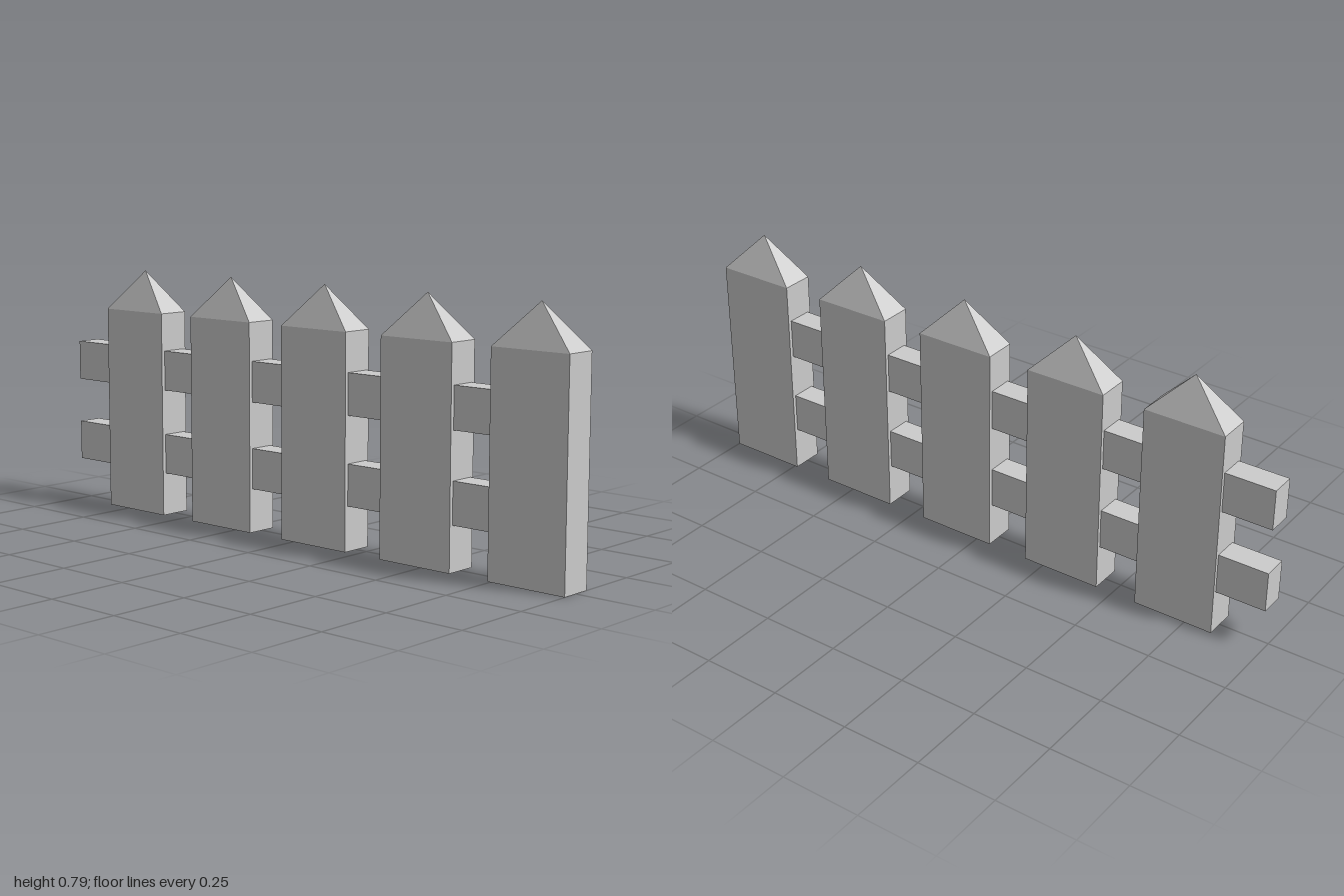
import * as THREE from 'three';

const PICKETS = 5, SPACING = 0.395, FIRST_Z = 0.87;
const THICK = 0.104, WIDTH = 0.26, SHOULDER = 0.66, TIP = 0.79;

export function createModel() {
  const group = new THREE.Group();
  group.name = 'picketFence';
  const material = new THREE.MeshStandardMaterial({ color: 0xcccccc, flatShading: true });

  const add = (parent, name, geometry) => {
    const mesh = new THREE.Mesh(geometry, material);
    mesh.name = name;
    parent.add(mesh);
    return mesh;
  };

  // Picket board and its four-sided pointed cap
  const board = new THREE.BoxGeometry(THICK, SHOULDER, WIDTH).translate(0, SHOULDER / 2, 0);
  const capHeight = TIP - SHOULDER;
  const cap = new THREE.ConeGeometry(Math.SQRT1_2, capHeight, 4, 1, true)
    .rotateY(Math.PI / 4)
    .scale(THICK, 1, WIDTH)
    .translate(0, SHOULDER + capHeight / 2, 0);

  // Row of pickets along z
  for (let i = 0; i < PICKETS; i++) {
    const picket = new THREE.Group();
    picket.name = `picket${i + 1}`;
    add(picket, 'board', board);
    add(picket, 'pointedCap', cap);
    picket.position.z = FIRST_Z - i * SPACING;
    group.add(picket);
  }

  // Two rails, ending inside the first picket and jutting out past the last
  const railLength = FIRST_Z + 1;
  const rail = new THREE.BoxGeometry(0.08, 0.128, railLength);
  for (const [name, y] of [['lowerRail', 0.202], ['upperRail', 0.475]]) {
    add(group, name, rail).position.set(0, y, -1 + railLength / 2);
  }
  return group;
}
